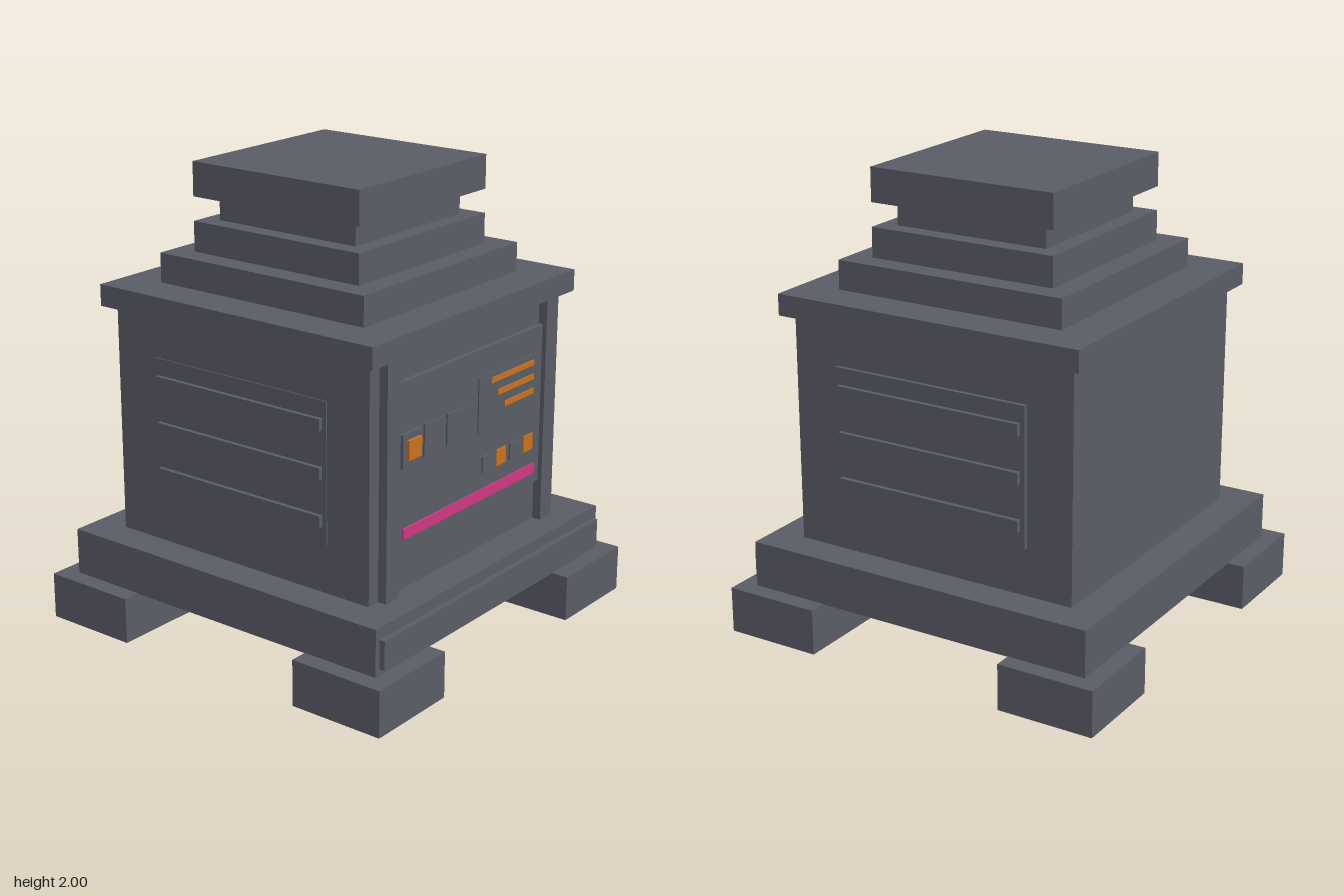
import * as THREE from 'three';

export function createModel() {
  const model = new THREE.Group();
  model.name = 'furnaceCabinet';

  const material = (name, color) => {
    const m = new THREE.MeshStandardMaterial({ color });
    m.name = name;
    return m;
  };
  const grey = material('slateGrey', 0x5a5c66);
  const orange = material('glowOrange', 0xc87020);
  const pink = material('glowPink', 0xcc3784);

  // Box given by its extents on each axis
  const box = (name, [x0, x1], [y0, y1], [z0, z1], mat = grey) => {
    const mesh = new THREE.Mesh(new THREE.BoxGeometry(x1 - x0, y1 - y0, z1 - z0), mat);
    mesh.position.set((x0 + x1) / 2, (y0 + y1) / 2, (z0 + z1) / 2);
    mesh.name = name;
    model.add(mesh);
  };

  // Square tiers from plinth to chimney cap: half width, bottom, top
  const tiers = [
    ['plinth', 0.807, 0.2, 0.405],
    ['body', 0.66, 0.405, 1.4],
    ['cornice', 0.708, 1.4, 1.493],
    ['lowerRoofStep', 0.53, 1.493, 1.62],
    ['upperRoofStep', 0.43, 1.62, 1.75],
    ['chimneyNeck', 0.354, 1.75, 1.853],
    ['chimneyCap', 0.43, 1.853, 2],
  ];
  for (const [name, h, y0, y1] of tiers) box(name, [-h, h], [y0, y1], [-h, h]);

  // Feet
  for (const x of [-0.67, 0.67])
    for (const z of [-0.67, 0.67])
      box('foot', [x - 0.215, x + 0.215], [0, 0.202], [z - 0.215, z + 0.215]);

  // Front trim: plinth plate, corner pillars, control panel
  box('plinthPlate', [-0.783, 0.78], [0.23, 0.355], [0.8, 0.832]);
  for (const s of [-1, 1])
    box('frontPillar', [s * 0.557 - 0.043, s * 0.557 + 0.043], [0.405, 1.4], [0.65, 0.7]);
  box('controlPanel', [-0.514, 0.514], [0.588, 1.29], [0.65, 0.68]);

  // Row of three keys, the first one lit
  box('litKeyFrame', [-0.492, -0.36], [0.94, 1.08], [0.675, 0.695]);
  box('litKey', [-0.468, -0.383], [0.97, 1.053], [0.69, 0.708], orange);
  for (const x of [-0.337, -0.182])
    box('unlitKey', [x, x + 0.132], [0.94, 1.08], [0.675, 0.687]);

  // Readout screen with three lines
  box('screen', [0.04, 0.48], [0.935, 1.175], [0.675, 0.686]);
  [[0.125, 1.13], [0.172, 1.067], [0.226, 1.004]].forEach(([x, y]) =>
    box('screenLine', [x, 0.443], [y, y + 0.024], [0.682, 0.691], orange));

  // Row of four indicators, alternately lit
  [0.077, 0.179, 0.281, 0.384].forEach((x, i) =>
    box('indicator', [x, x + 0.07], [0.75, 0.822], [0.675, 0.687], i % 2 ? orange : grey));

  // Glowing strip
  box('glowStrip', [-0.472, 0.47], [0.634, 0.68], [0.675, 0.688], pink);

  // Side vents: panel and three slats; the model's left one stands out further
  for (const [s, panel, slat] of [[1, 0.678, 0.698], [-1, 0.665, 0.684]]) {
    const span = (a, b) => (s > 0 ? [a, b] : [-b, -a]);
    box('ventPanel', span(0.64, panel), [0.613, 1.215], [-0.453, 0.453]);
    for (const y of [0.713, 0.915, 1.117])
      box('ventSlat', span(0.65, slat), [y - 0.025, y + 0.025], [-0.432, 0.432]);
  }

  return model;
}
